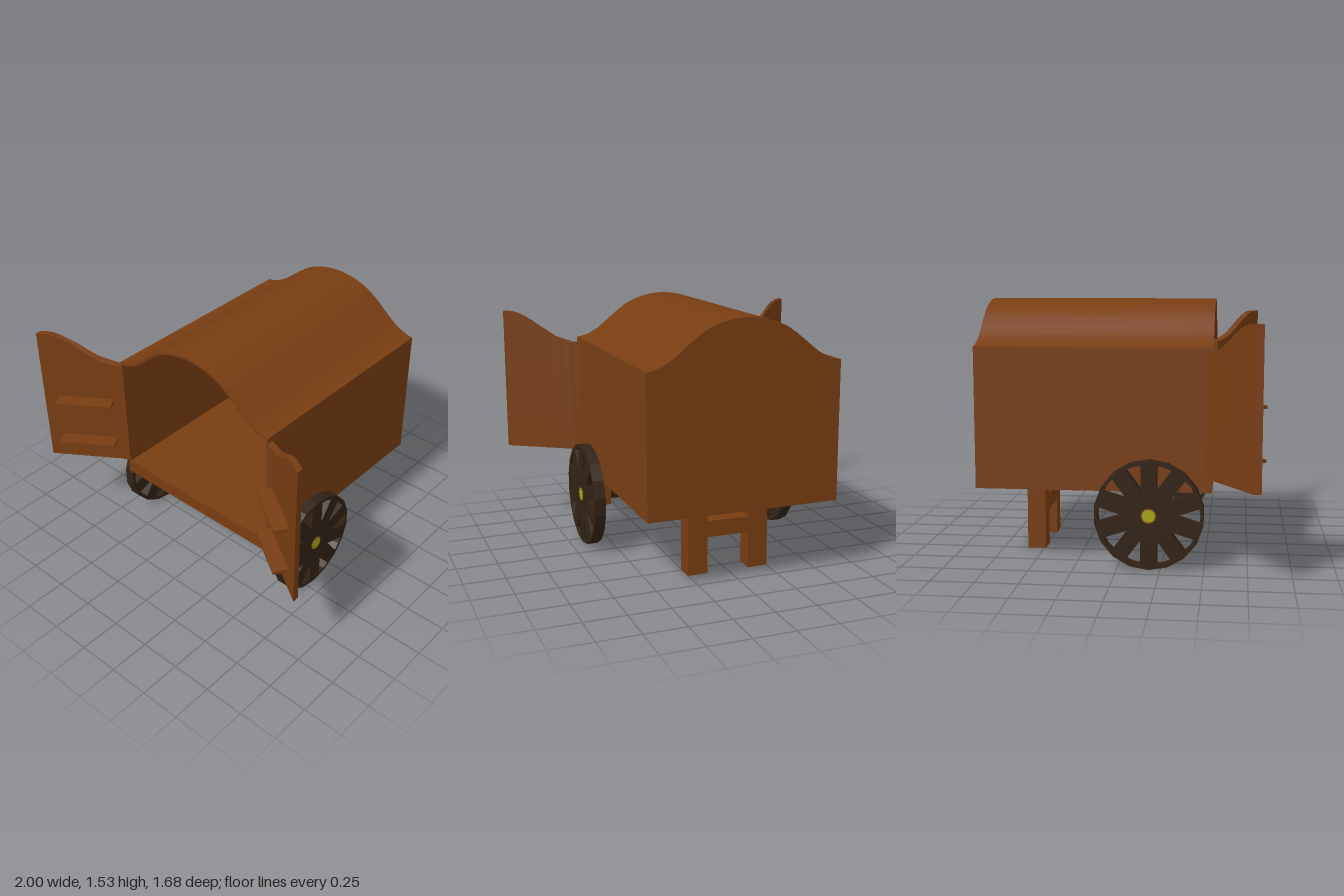
import * as THREE from 'three';
import { toCreasedNormals } from 'three/addons/utils/BufferGeometryUtils.js';

const wood = new THREE.MeshStandardMaterial({ color: 0x783d12 });
const darkWood = new THREE.MeshStandardMaterial({ color: 0x322214 });
const yellow = new THREE.MeshStandardMaterial({ color: 0xa5a514 });

function add(parent, name, geometry, material = wood) {
  const mesh = new THREE.Mesh(geometry, material);
  mesh.name = name;
  parent.add(mesh);
  return mesh;
}

// Box given by its minimum and maximum corners
function box(parent, name, [x0, y0, z0], [x1, y1, z1]) {
  const mesh = add(parent, name, new THREE.BoxGeometry(x1 - x0, y1 - y0, z1 - z0));
  mesh.position.set((x0 + x1) / 2, (y0 + y1) / 2, (z0 + z1) / 2);
  return mesh;
}

const BACK = -0.84, FRONT = 0.54, FLOOR = 0.525, BOTTOM = 0.44, HALF = 0.58;
const AXLE_Y = 0.32, AXLE_Z = 0.185;

// Bell-shaped roof line, right to left (counter-clockwise in the section)
const half = [[0, 1.535], [0.13, 1.518], [0.245, 1.473], [0.35, 1.395], [0.44, 1.323], [0.52, 1.282], [HALF, 1.27]];
const roofLine = new THREE.SplineCurve([
  ...half.slice(1).reverse().map(([x, y]) => new THREE.Vector2(x, y)),
  ...half.map(([x, y]) => new THREE.Vector2(-x, y)),
]).getPoints(24);

// Cross-section of the wagon, inset by the wall thickness t
function section(t, bottom) {
  const k = (HALF - t) / HALF;
  return [
    new THREE.Vector2(HALF - t, bottom),
    ...roofLine.map((p) => new THREE.Vector2(p.x * k, p.y - t)),
    new THREE.Vector2(-HALF + t, bottom),
  ];
}

function extrude(shape, depth) {
  return new THREE.ExtrudeGeometry(shape, { depth, bevelEnabled: false });
}

// Hollow shell with floor, open at the front and closed by a back wall
function buildBody(group) {
  const shellShape = new THREE.Shape(section(0, BOTTOM));
  shellShape.holes.push(new THREE.Path(section(0.014, FLOOR)));
  const shell = add(group, 'wagonShell', toCreasedNormals(extrude(shellShape, FRONT - BACK), 0.5));
  shell.position.z = BACK;
  const back = add(group, 'backWall', extrude(new THREE.Shape(section(0.007, BOTTOM + 0.01)), 0.015));
  back.position.z = BACK + 0.001;
}

// Open door with a shelf pair; built on +x and mirrored for the other side
function buildDoor(side) {
  const door = new THREE.Group();
  door.name = side > 0 ? 'leftDoor' : 'rightDoor';
  const xs = [0.575, 0.6, 0.625];
  for (let i = 1; i <= 12; i++) xs.push(0.625 + (0.375 * i) / 12);
  const backZ = (x) => (x < 0.625 ? 0.5 + (x - 0.575) * 0.46 : 0.523 + (x - 0.625) * 0.667);
  const outline = [
    ...xs.map((x) => new THREE.Vector2(x, -backZ(x) - 0.04)),
    ...xs.slice().reverse().map((x) => new THREE.Vector2(x, -backZ(x))),
  ];
  // Extrude the plan upward, then bend the top edge into an S-curve
  const panel = extrude(new THREE.Shape(outline), 1).rotateX(-Math.PI / 2);
  const pos = panel.attributes.position;
  for (let i = 0; i < pos.count; i++) {
    const s = THREE.MathUtils.smoothstep(pos.getX(i), 0.61, 0.97);
    pos.setY(i, pos.getY(i) > 0.5 ? 1.238 + 0.189 * s : 0.528);
  }
  add(door, 'doorPanel', toCreasedNormals(panel, 0.5));

  const shelfHeights = side > 0 ? [0.675, 0.97] : [0.688, 0.98];
  for (const y of shelfHeights) {
    const shelf = add(door, 'doorShelf', new THREE.BoxGeometry(0.345, 0.018, 0.09));
    shelf.position.set(0.754, y, 0.704);
    shelf.rotation.y = -0.588;
  }
  door.scale.x = side;
  return door;
}

// Ten-spoke wheel with an 18-sided rim, facing +x
function buildWheel(side) {
  const wheel = new THREE.Group();
  wheel.name = side > 0 ? 'leftWheel' : 'rightWheel';
  const at = (r, a) => new THREE.Vector2(r * Math.cos(a), r * Math.sin(a));
  const rim = [];
  for (let i = 0; i < 18; i++) rim.push(at(0.317, Math.PI / 2 + (i * Math.PI) / 9));
  const shape = new THREE.Shape(rim);
  for (let i = 0; i < 10; i++) {
    const a = (i * Math.PI) / 5;
    shape.holes.push(new THREE.Path([at(0.15, a), at(0.292, a + 0.155), at(0.296, a), at(0.292, a - 0.155)]));
  }
  const disc = extrude(shape, 0.068).rotateY(Math.PI / 2);
  add(wheel, 'spokedWheel', disc, darkWood).position.x = 0.604;

  const hub = add(wheel, 'hubRing', new THREE.CylinderGeometry(0.046, 0.046, 0.05, 12).rotateZ(Math.PI / 2));
  hub.position.x = 0.649;
  const cap = add(wheel, 'hubCap', new THREE.CylinderGeometry(0.039, 0.039, 0.05, 10).rotateZ(Math.PI / 2), yellow);
  cap.position.x = 0.651;
  wheel.position.set(0, AXLE_Y, AXLE_Z);
  wheel.scale.x = side;
  return wheel;
}

// Axle with its brackets, and the rear stand
function buildUndercarriage(group) {
  const axle = add(group, 'axle', new THREE.CylinderGeometry(0.04, 0.04, 1.22, 16).rotateZ(Math.PI / 2), darkWood);
  axle.position.set(0, AXLE_Y - 0.005, AXLE_Z);
  for (const s of [-1, 1]) {
    const bracket = box(group, 'axleBracket', [0.495, 0.25, AXLE_Z - 0.055], [0.577, BOTTOM + 0.01, AXLE_Z + 0.055]);
    const leg = box(group, 'standLeg', [0.13, 0, -0.6], [0.253, BOTTOM + 0.01, -0.488]);
    bracket.position.x *= s;
    leg.position.x *= s;
  }
  box(group, 'standCrossbar', [-0.14, 0.222, -0.598], [0.14, 0.32, -0.49]);
}

export function createModel() {
  const model = new THREE.Group();
  model.name = 'wagon';
  buildBody(model);
  buildUndercarriage(model);
  for (const side of [1, -1]) model.add(buildDoor(side), buildWheel(side));
  return model;
}
